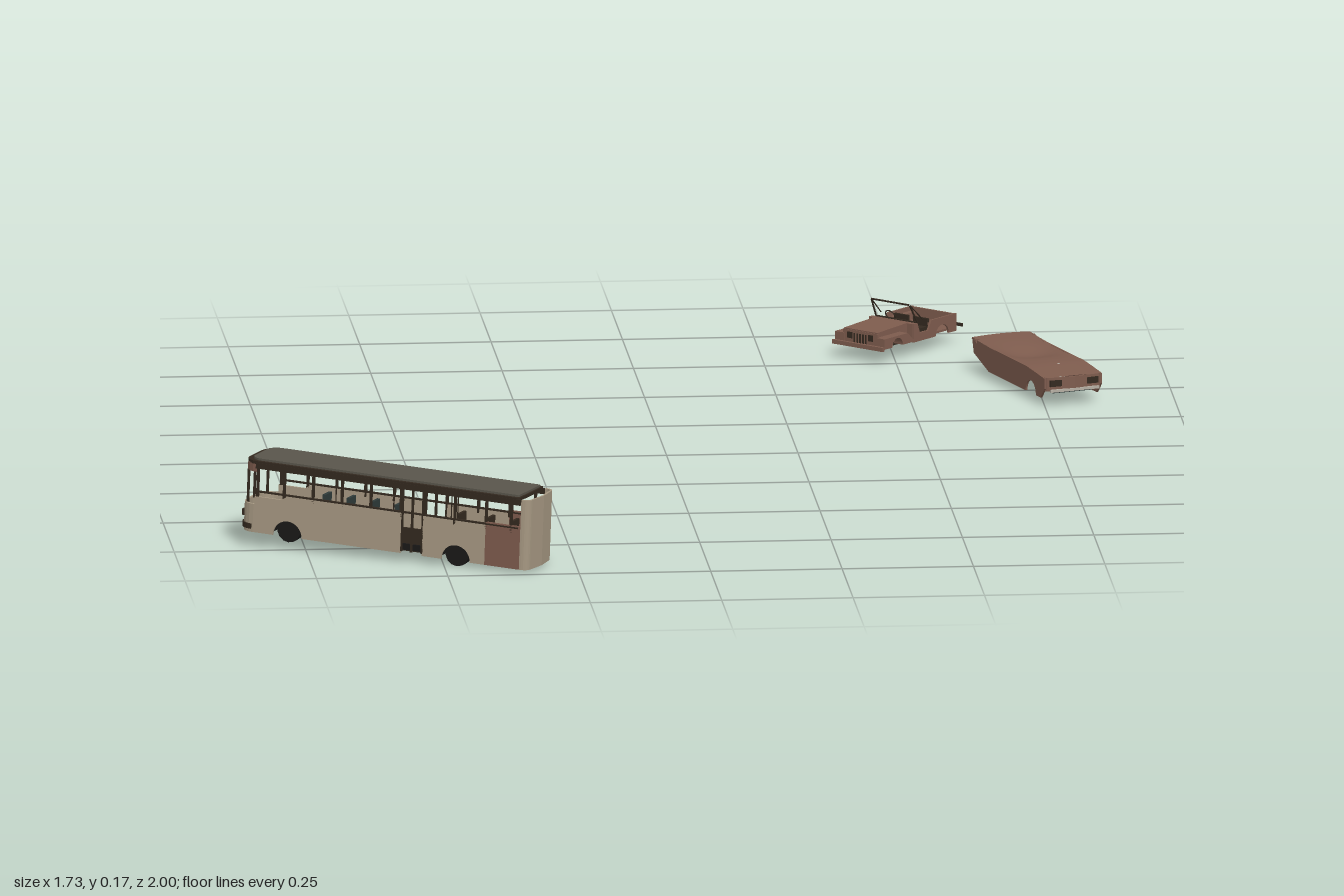
import * as THREE from 'three';

const mat = (name, color, side = THREE.FrontSide) => {
  const m = new THREE.MeshStandardMaterial({ color, side });
  m.name = name;
  return m;
};

export function createModel() {
  const D = THREE.DoubleSide;
  const beige = mat('faded beige paint', 0xa69882);
  const rust = mat('rusty brown', 0x7d5b4d, D);
  const roofGrey = mat('olive grey roof', 0x58544a);
  const dark = mat('dark corroded metal', 0x33291f);
  const black = mat('black underside', 0x191817);
  const pale = mat('pale chrome', 0xb5aea2);
  const teal = mat('dark teal parts', 0x2f3b3a);

  const put = (g, name, geo, m, x = 0, y = 0, z = 0) => {
    const mesh = new THREE.Mesh(geo, m);
    mesh.name = name;
    mesh.position.set(x, y, z);
    g.add(mesh);
    return mesh;
  };
  const box = (g, name, m, w, h, d, x, y, z) => put(g, name, new THREE.BoxGeometry(w, h, d), m, x, y, z);
  const rod = (g, name, m, r, a, b) =>
    put(g, name, new THREE.TubeGeometry(new THREE.LineCurve3(new THREE.Vector3(...a), new THREE.Vector3(...b)), 1, r, 5), m);

  // Upright side panel along x with wheel arches cut from its bottom edge
  const panel = (x0, x1, yb, arches, r, top, t = 0.004) => {
    const s = new THREE.Shape();
    s.moveTo(x0, yb);
    for (const c of arches) {
      s.lineTo(c - r, yb);
      s.absarc(c, yb, r, Math.PI, 0, true);
    }
    s.lineTo(x1, yb);
    top.forEach(([x, y]) => s.lineTo(x, y));
    return new THREE.ExtrudeGeometry(s, { depth: t, bevelEnabled: false, curveSegments: 8 }).translate(0, 0, -t / 2);
  };
  // Plan outline of a vehicle end with rounded corners
  const endCurve = (x0, x1, w, r, bulge) => {
    const p = [[x0, -w]];
    for (let i = 0; i <= 5; i++) {
      const a = -Math.PI / 2 + i * Math.PI / 10;
      p.push([x1 - r + r * Math.cos(a), -w + r + r * Math.sin(a)]);
    }
    p.push([x1 + bulge, 0]);
    for (let i = 0; i <= 5; i++) {
      const a = i * Math.PI / 10;
      p.push([x1 - r + r * Math.cos(a), w - r + r * Math.sin(a)]);
    }
    p.push([x0, w]);
    return p.map(([x, y]) => new THREE.Vector2(x, y));
  };
  const rise = (pts, h) =>
    new THREE.ExtrudeGeometry(new THREE.Shape(pts), { depth: h, bevelEnabled: false }).rotateX(-Math.PI / 2);
  const endWall = (x0, x1, w, r, bulge, h) =>
    rise([...endCurve(x0, x1, w, r, bulge), ...endCurve(x0, x1 - 0.004, w - 0.004, r - 0.002, bulge).reverse()], h);
  const slab = (xf, xr, w, rf, rr, h) =>
    rise([...endCurve(0, xr, w, rr, 0), ...endCurve(0, -xf, w, rf, 0).map(p => new THREE.Vector2(-p.x, -p.y))], h);

  const model = new THREE.Group();

  // ---- Bus: front at -x, rear at +x ----
  const bus = new THREE.Group();
  bus.name = 'bus';
  const W = 0.057, sill = 0.08;
  for (const side of [-1, 1]) {
    const z = side * (W - 0.002), tag = side > 0 ? 'right' : 'left';
    put(bus, tag + 'FrontPanel', panel(-0.27, 0.035, 0, [-0.2], 0.03, [[0.035, sill], [-0.2, sill], [-0.215, 0.07], [-0.27, 0.07]]), beige, 0, 0, z);
    put(bus, tag + 'RearPanel', panel(0.08, 0.21, 0, [0.15], 0.03, [[0.21, sill], [0.08, sill]]), beige, 0, 0, z);
    put(bus, tag + 'RustPanel', panel(0.21, 0.282, 0, [], 0, [[0.282, sill + 0.004], [0.21, sill + 0.004]]), rust, 0, 0, z);
    for (const x of [-0.265, -0.21, -0.15, -0.09, -0.03, 0.035, 0.08, 0.145, 0.21, 0.262])
      box(bus, 'windowPillar', dark, 0.005, 0.06, 0.004, x, 0.1, z);
    for (const x of [0.036, 0.057, 0.079]) box(bus, 'doorPost', dark, 0.004, 0.125, 0.004, x, 0.066, z);
    box(bus, 'windowRail', dark, 0.545, 0.003, 0.005, 0.005, sill, z);
    box(bus, 'roofRail', dark, 0.55, 0.011, 0.005, 0.005, 0.13, z);
    for (const x of [-0.2, 0.15])
      put(bus, 'wheel', new THREE.CylinderGeometry(0.024, 0.024, 0.016, 14).rotateX(Math.PI / 2), black, x, 0.012, side * 0.042);
    for (const x of [-0.16, -0.11, -0.06, -0.01, 0.12, 0.18, 0.23])
      box(bus, 'seat', x < 0 ? teal : dark, 0.006, 0.05, 0.03, x, 0.047, side * 0.034);
    for (const x of [-0.12, 0, 0.12]) rod(bus, 'handPole', dark, 0.0012, [x, 0.02, side * 0.015], [x, 0.13, side * 0.015]);
  }
  box(bus, 'doorStep', dark, 0.045, 0.045, 0.004, 0.058, 0.026, 0.046);
  // Floor in pieces, narrowed between the wheels
  for (const [a, b, w] of [[-0.285, -0.23, 0.104], [-0.23, -0.17, 0.066], [-0.17, 0.12, 0.104], [0.12, 0.18, 0.066], [0.18, 0.285, 0.104]])
    box(bus, 'floor', black, b - a, 0.012, w, (a + b) / 2, 0.012, 0);
  // Ends
  put(bus, 'rearWall', endWall(0.282, 0.3, W, 0.014, 0.004, 0.136), beige);
  const front = new THREE.Group();
  front.name = 'busFront';
  front.rotation.y = Math.PI;
  put(front, 'frontPanel', endWall(0.265, 0.3, W, 0.028, 0.003, 0.055), beige);
  put(front, 'bumper', endWall(0.275, 0.303, W + 0.001, 0.028, 0.003, 0.01), dark, 0, 0.006, 0);
  put(front, 'destinationBand', endWall(0.265, 0.296, W, 0.028, 0.003, 0.017), rust, 0, 0.118, 0);
  for (const [x, z] of [[0.296, 0], [0.289, -0.045], [0.289, 0.045]])
    box(front, 'windshieldPost', dark, 0.004, 0.066, 0.004, x, 0.086, z);
  for (const s of [-1, 1]) box(front, 'headlight', dark, 0.006, 0.012, 0.018, 0.3, 0.032, s * 0.03);
  bus.add(front);
  // Roof with a darker rim
  put(bus, 'roofRim', slab(-0.296, 0.278, W, 0.028, 0.006, 0.006), dark, 0, 0.133, 0);
  put(bus, 'roof', slab(-0.285, 0.274, W - 0.007, 0.022, 0.004, 0.005), roofGrey, 0, 0.138, 0);
  bus.position.set(-0.583, 0.014, 0.8);
  bus.rotation.set(0, -0.506, -0.04);
  model.add(bus);

  // ---- Flattened car shell: front at -x ----
  const car = new THREE.Group();
  car.name = 'carShell';
  const L = 0.168, CW = 0.058;
  const edge = x => 0.05 + 0.008 * Math.min(1, Math.max(0, (x + 0.17) / 0.08)) + 0.004 * Math.max(0, (x - 0.1) / 0.07);
  const rim = [];
  for (let i = 0; i <= 8; i++) rim.push([L - i * L / 4, edge(L - i * L / 4)]);
  for (const s of [-1, 1]) {
    put(car, 'sidePanel', panel(-0.15, 0.09, 0.01, [-0.105], 0.024, [[0.16, 0.033], ...rim, [-L, 0.03]]), rust, 0, 0, s * CW);
    put(car, 'tailFin', new THREE.ConeGeometry(0.005, 0.03, 6).rotateZ(-Math.PI / 2), rust, 0.16, 0.058, s * CW);
    box(car, 'headlight', dark, 0.005, 0.012, 0.024, -0.172, 0.04, s * 0.038);
  }
  // Bonnet, sunken cabin and boot as one sheet
  const deck = new THREE.PlaneGeometry(2 * L, 2 * CW, 28, 10).rotateX(-Math.PI / 2);
  const P = deck.attributes.position;
  for (let i = 0; i < P.count; i++) {
    const x = P.getX(i), u = P.getZ(i) / CW;
    const cabin = Math.exp(-Math.pow((x - 0.03) / 0.05, 2)) * 0.014;
    P.setY(i, edge(x) + (1 - u * u) * (0.003 - cabin));
    P.setX(i, x + (x < 0 ? -0.007 : -0.004) * (1 - u * u) * Math.abs(x / L));
  }
  deck.computeVertexNormals();
  put(car, 'deck', deck, rust);
  put(car, 'noseWall', endWall(0.155, L + 0.002, CW, 0.008, 0.006, 0.026), rust, 0, 0.025, 0).rotation.y = Math.PI;
  box(car, 'tailWall', rust, 0.004, 0.026, 2 * CW, 0.16, 0.046, 0);
  box(car, 'grille', teal, 0.012, 0.022, 0.08, -0.158, 0.03, 0);
  box(car, 'frontBumper', pale, 0.005, 0.005, 0.1, -0.175, 0.026, 0);
  box(car, 'dashboard', dark, 0.004, 0.016, 0.104, -0.035, 0.04, 0);
  box(car, 'crossMember', dark, 0.02, 0.008, 0.112, 0.04, 0.018, 0);
  box(car, 'bonnetOrnament', pale, 0.006, 0.003, 0.004, -0.1, 0.059, 0);
  car.position.set(0.75, 0, -0.536);
  car.rotation.y = 1.907;
  model.add(car);

  // ---- Open off-road wreck: front at -x ----
  const jeep = new THREE.Group();
  jeep.name = 'openTruck';
  for (const s of [-1, 1]) {
    put(jeep, 'tubSide', panel(-0.02, 0.112, 0.02, [0.068], 0.02, [[0.112, 0.054], [0.035, 0.054], [0.025, 0.036], [0, 0.036], [-0.008, 0.056], [-0.02, 0.056]]), rust, 0, 0, s * 0.052);
    put(jeep, 'bonnetSide', panel(-0.112, -0.02, 0.026, [-0.076], 0.018, [[-0.02, 0.054], [-0.112, 0.05]]), rust, 0, 0, s * 0.038);
    put(jeep, 'fender', panel(-0.116, -0.03, 0.024, [-0.076], 0.016, [[-0.025, 0.026], [-0.045, 0.044], [-0.116, 0.044]], 0.022), rust, 0, 0, s * 0.049);
    box(jeep, 'rearFender', rust, 0.06, 0.004, 0.014, 0.07, 0.044, s * 0.044);
    box(jeep, 'seat', dark, 0.028, 0.01, 0.034, 0.025, 0.034, s * 0.023);
    box(jeep, 'seatBack', dark, 0.005, 0.024, 0.034, 0.042, 0.042, s * 0.023);
    rod(jeep, 'windshieldPost', dark, 0.0018, [-0.002, 0.054, s * 0.05], [-0.022, 0.092, s * 0.046]);
    rod(jeep, 'windshieldStay', dark, 0.0012, [-0.022, 0.092, s * 0.046], [0.012, 0.06, s * 0.05]);
    box(jeep, 'headlight', dark, 0.003, 0.012, 0.012, -0.114, 0.041, s * 0.025);
    rod(jeep, 'bumperBracket', dark, 0.002, [0.108, 0.03, s * 0.04], [0.122, 0.03, s * 0.04]);
  }
  rod(jeep, 'windshieldTop', dark, 0.0018, [-0.022, 0.092, -0.046], [-0.022, 0.092, 0.046]);
  rod(jeep, 'windshieldBase', dark, 0.0018, [-0.002, 0.055, -0.05], [-0.002, 0.055, 0.05]);
  box(jeep, 'bonnet', rust, 0.094, 0.004, 0.08, -0.066, 0.053, 0).rotation.z = 0.04;
  box(jeep, 'cowl', rust, 0.012, 0.028, 0.104, -0.016, 0.042, 0);
  box(jeep, 'grille', rust, 0.005, 0.03, 0.084, -0.112, 0.036, 0);
  for (let i = -2; i <= 2; i++) box(jeep, 'grilleSlot', dark, 0.002, 0.02, 0.003, -0.115, 0.036, i * 0.007);
  box(jeep, 'frontBumper', rust, 0.006, 0.008, 0.122, -0.121, 0.025, 0);
  box(jeep, 'floor', rust, 0.13, 0.004, 0.1, 0.045, 0.026, 0);
  box(jeep, 'tailgate', rust, 0.004, 0.03, 0.104, 0.11, 0.038, 0);
  box(jeep, 'rearBar', dark, 0.003, 0.006, 0.12, 0.123, 0.03, 0);
  for (const s of [-1, 1]) box(jeep, 'frameRail', dark, 0.21, 0.007, 0.008, 0, 0.02, s * 0.025);
  put(jeep, 'steeringWheel', new THREE.TorusGeometry(0.011, 0.0013, 5, 14).rotateY(Math.PI / 2).rotateZ(0.5), dark, 0.008, 0.058, -0.024);
  jeep.position.set(0.513, 0, -0.872);
  jeep.rotation.y = 0.82;
  model.add(jeep);

  return model;
}
